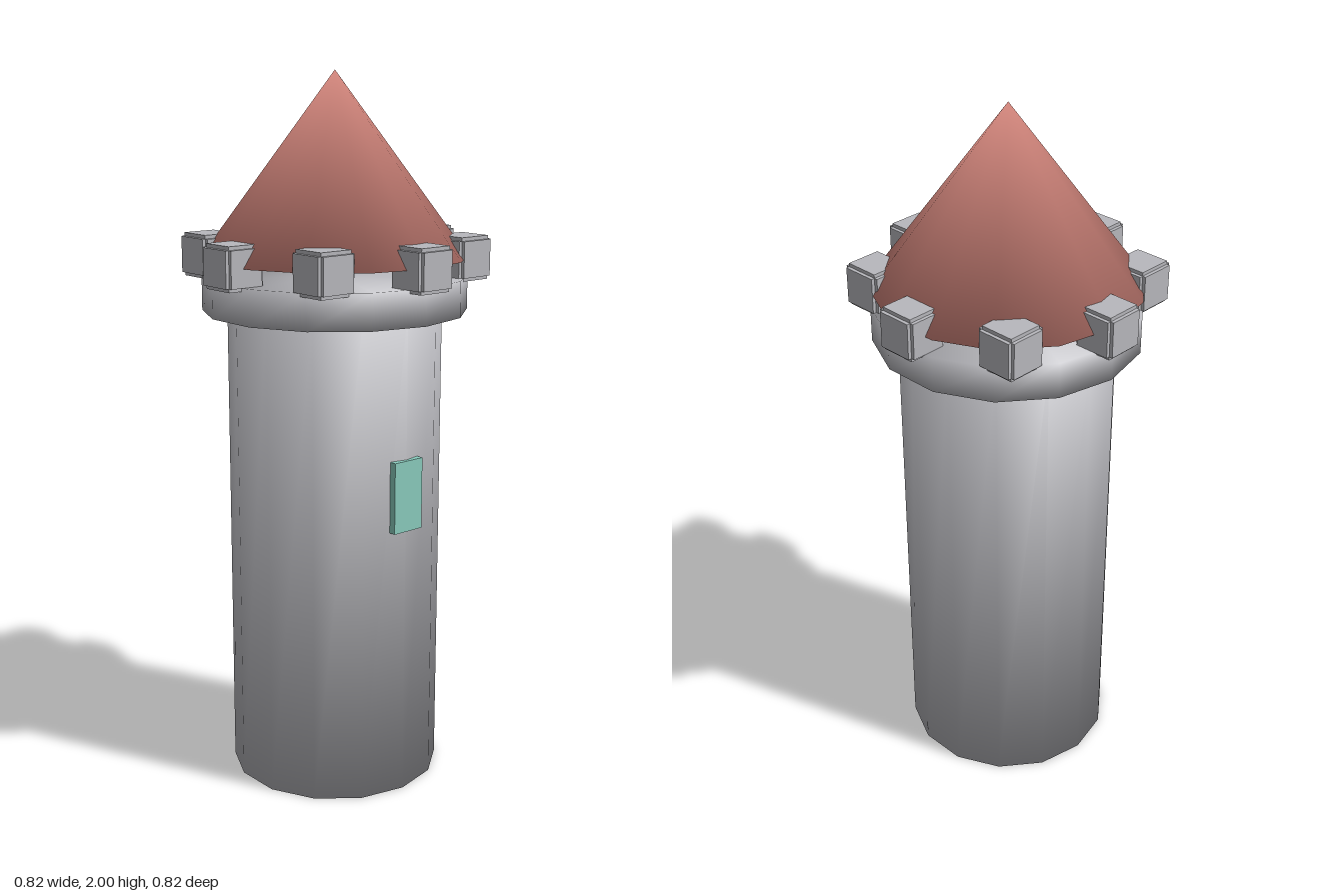
import * as THREE from 'three';
import { mergeVertices } from 'three/addons/utils/BufferGeometryUtils.js';

const SIDES = 14;

// Weld a geometry and smooth it across every edge, weighting faces by corner angle.
function softened(source) {
  source.deleteAttribute('normal');
  source.deleteAttribute('uv');
  const geo = mergeVertices(source, 1e-4);
  geo.clearGroups();
  const pos = geo.attributes.position;
  const index = geo.index;
  const sums = Array.from({ length: pos.count }, () => new THREE.Vector3());
  for (let i = 0; i < index.count; i += 3) {
    const ids = [0, 1, 2].map((k) => index.getX(i + k));
    const p = ids.map((id) => new THREE.Vector3().fromBufferAttribute(pos, id));
    const normal = new THREE.Triangle(...p).getNormal(new THREE.Vector3());
    for (let k = 0; k < 3; k++) {
      const a = p[(k + 1) % 3].clone().sub(p[k]);
      const b = p[(k + 2) % 3].clone().sub(p[k]);
      sums[ids[k]].addScaledVector(normal, a.angleTo(b));
    }
  }
  const normals = new Float32Array(pos.count * 3);
  sums.forEach((n, i) => n.normalize().toArray(normals, i * 3));
  geo.setAttribute('normal', new THREE.BufferAttribute(normals, 3));
  return geo;
}

export function createModel() {
  const stone = new THREE.MeshStandardMaterial({ name: 'stone', color: 0xb8b8bd });
  const roofRed = new THREE.MeshStandardMaterial({ name: 'roofRed', color: 0xd98a80 });
  const glass = new THREE.MeshStandardMaterial({ name: 'glass', color: 0x8accbe });

  const tower = new THREE.Group();
  tower.name = 'tower';

  const add = (name, geometry, material, parent, x = 0, y = 0, z = 0) => {
    const mesh = new THREE.Mesh(geometry, material);
    mesh.name = name;
    mesh.position.set(x, y, z);
    parent.add(mesh);
    return mesh;
  };

  // Round shaft and the wider ledge on top
  add('shaft', softened(new THREE.CylinderGeometry(0.3, 0.3, 1.4, SIDES)), stone, tower, 0, 0.7);
  add('ledge', softened(new THREE.CylinderGeometry(0.37, 0.37, 0.1, SIDES)), stone, tower, 0, 1.4);

  // Pointed roof
  add('roof', softened(new THREE.ConeGeometry(0.37, 0.5, SIDES)), roofRed, tower, 0, 1.75);

  // Front window
  add('window', new THREE.BoxGeometry(0.1, 0.2, 0.02), glass, tower, 0, 0.875, 0.3);

  // Ring of battlements: each is three crossed blocks, giving stepped edges
  const blocks = [[0.12, 0.1, 0.1], [0.1, 0.12, 0.1], [0.1, 0.1, 0.12]]
    .map((size) => new THREE.BoxGeometry(...size));
  for (let i = 0; i < 8; i++) {
    const angle = (i * Math.PI) / 4;
    const battlement = new THREE.Group();
    battlement.name = `battlement${i + 1}`;
    battlement.position.set(0.35 * Math.sin(angle), 1.5, 0.35 * Math.cos(angle));
    blocks.forEach((block) => add('battlementBlock', block, stone, battlement));
    tower.add(battlement);
  }

  return tower;
}
